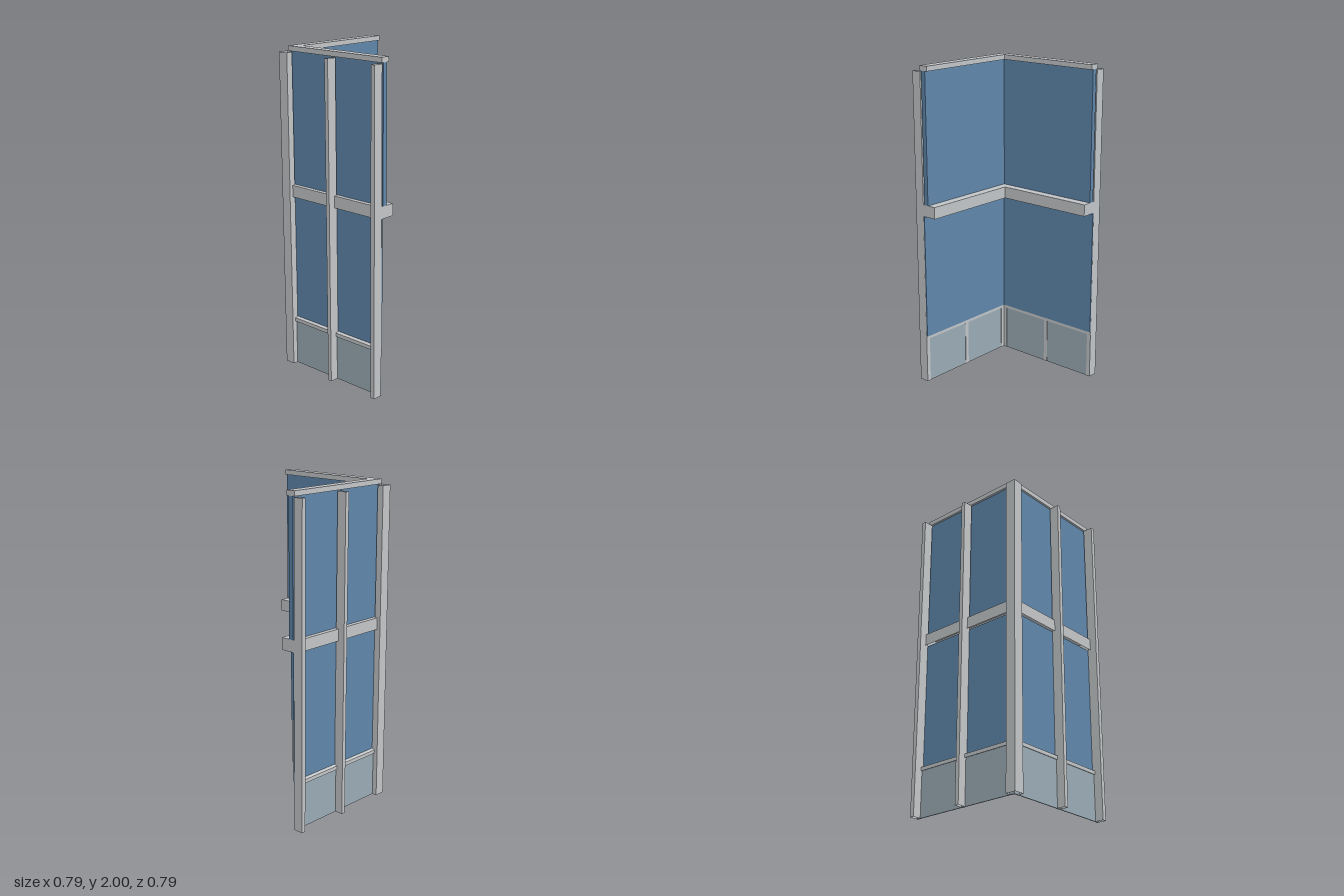
import * as THREE from 'three';

const RIGHT = 0, LEFT = 1, TOP = 2, BOTTOM = 3; // box face order

export function createModel() {
  const model = new THREE.Group();
  model.name = 'cornerGlazing';

  const mat = (name, color, side = THREE.FrontSide) => {
    const m = new THREE.MeshStandardMaterial({ color, side });
    m.name = name;
    return m;
  };
  const frame = mat('aluminiumGrey', 0xc3c6c8, THREE.DoubleSide);
  const glass = mat('blueGlass', 0x5f86ab);
  const panel = mat('greyBluePanel', 0x9aabb5);

  // Box given by its limits; faces in `open` are left out. A mitred box is cut
  // at 45 degrees on its left end, and `slope` lifts its inner edge.
  function boxGeometry([x0, x1], [y0, y1], [z0, z1], { open = [], mitre = false, slope = 0 }, turned) {
    const geo = new THREE.BoxGeometry(x1 - x0, y1 - y0, z1 - z0);
    geo.translate((x0 + x1) / 2, (y0 + y1) / 2, (z0 + z1) / 2);
    const pos = geo.attributes.position;
    const zMid = (z0 + z1) / 2, xMid = (x0 + x1) / 2;
    for (let i = 0; i < pos.count; i++) {
      let x = pos.getX(i), y = pos.getY(i);
      const z = pos.getZ(i);
      if (mitre && x < xMid) x = -z;
      if (z < zMid) y += slope;
      // The side wall is the front wall reflected about the corner diagonal
      if (turned) pos.setXYZ(i, -z, y, -x);
      else pos.setXYZ(i, x, y, z);
    }
    const skip = mitre ? [...open, LEFT] : open;
    const source = geo.index.array, index = [];
    for (let f = 0; f < 6; f++) {
      if (skip.includes(f)) continue;
      for (let t = f * 6; t < f * 6 + 6; t += 3) {
        const [a, b, c] = [source[t], source[t + 1], source[t + 2]];
        index.push(a, ...(turned ? [c, b] : [b, c]));
      }
    }
    geo.clearGroups();
    geo.setIndex(index);
    geo.computeVertexNormals();
    return geo;
  }

  for (const turned of [false, true]) {
    const wall = new THREE.Group();
    wall.name = turned ? 'sideWall' : 'frontWall';
    const add = (name, material, x, y, z, options = {}) => {
      const mesh = new THREE.Mesh(boxGeometry(x, y, z, options, turned), material);
      mesh.name = name;
      wall.add(mesh);
    };
    const END = 0.395;
    const tube = { open: [TOP, BOTTOM] };

    // Uprights: hollow mullions and half of the corner post
    add('middleMullion', frame, [0.017, 0.043], [0, 1.965], [0.335, 0.397], tube);
    add('endMullion', frame, [0.368, END], [0, 1.965], [0.335, 0.397], tube);
    add('cornerPost', frame, [-0.376, -0.31], [0, 1.965], [0.335, 0.376], { ...tube, mitre: true });

    // Horizontal rails
    add('topRail', frame, [-0.34, END], [1.97, 2], [0.28, 0.338], { mitre: true });
    add('middleLedge', frame, [-0.353, END], [1.092, 1.165], [0.24, 0.353], { mitre: true, open: [BOTTOM] });
    add('lowerSill', frame, [-0.353, END], [0.281, 0.304], [0.333, 0.353], { mitre: true, slope: 0.007 });

    // Infill
    add('upperGlass', glass, [-0.325, END], [1.165, 1.97], [0.295, 0.325], { mitre: true });
    add('lowerGlass', glass, [-0.335, END], [0.308, 1.092], [0.328, 0.334], { mitre: true });
    add('lowerPanel', panel, [-0.344, END], [0, 0.288], [0.338, 0.344], { mitre: true });

    model.add(wall);
  }
  return model;
}
